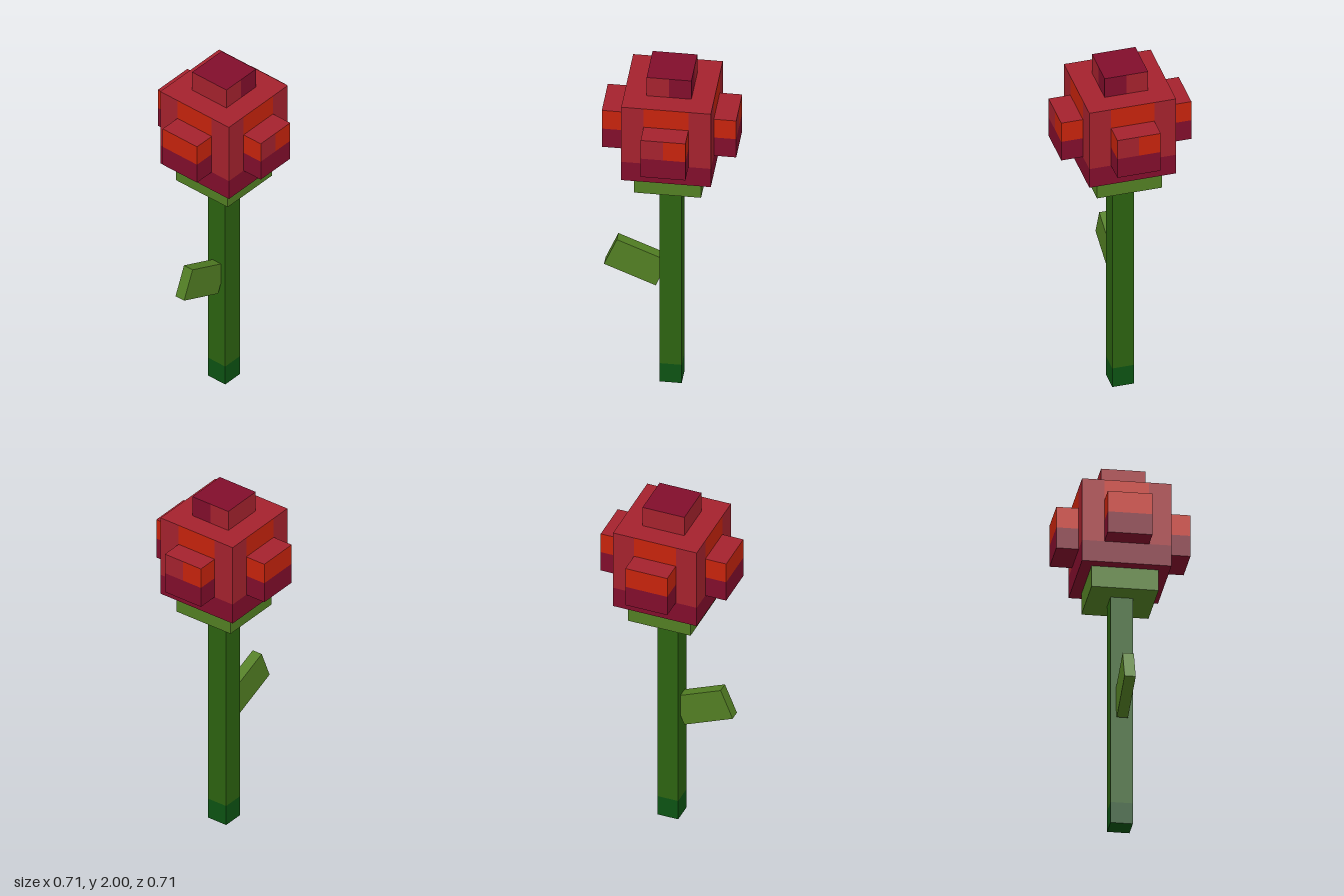
import * as THREE from 'three';

const U = 2 / 17; // block unit

function mat(name, color) {
  const m = new THREE.MeshStandardMaterial({ color });
  m.name = name;
  return m;
}

export function createModel() {
  const stemGreen = mat('stemGreen', 0x2c6210);
  const darkGreen = mat('darkGreen', 0x0c5212);
  const leafGreen = mat('leafGreen', 0x527e23);
  const red = mat('petalRed', 0xa4222d);
  const orange = mat('petalOrange', 0xc6230c);
  const plum = mat('petalPlum', 0x810d2b);

  const model = new THREE.Group();
  model.name = 'flower';

  // Box sized and centred in block units; y is the bottom of the box
  function block(name, parent, material, [w, h, d], [x, y, z]) {
    const mesh = new THREE.Mesh(new THREE.BoxGeometry(w * U, h * U, d * U), material);
    mesh.name = name;
    mesh.position.set(x * U, (y + h / 2) * U, z * U);
    parent.add(mesh);
    return mesh;
  }
  // Material list for a box whose top differs from its sides
  const topped = (side, top) => [side, side, top, side, side, side];

  // Stem, sepal and leaf
  block('stemBase', model, darkGreen, [1, 1, 1], [0, 0, 0]);
  block('stem', model, stemGreen, [1, 10, 1], [0, 1, 0]);
  block('sepal', model, leafGreen, [3, 1, 3], [0, 11, 0]);
  const leaf = block('leaf', model, leafGreen, [2.5, 1.5, 0.5], [-1.56, 5.49, 0]);
  leaf.rotation.z = -Math.PI / 8;

  // Bloom: plum base, red corner columns, orange core with a red top
  const bloom = new THREE.Group();
  bloom.name = 'bloom';
  model.add(bloom);
  block('bloomBase', bloom, plum, [4, 1, 4], [0, 12, 0]);
  const core = topped(orange, red);
  block('bloomCore', bloom, core, [4, 3, 2], [0, 13, 0]);
  for (const s of [-1, 1]) {
    block('bloomCoreSide', bloom, core, [2, 3, 1], [0, 13, s * 1.5]);
    for (const t of [-1, 1]) block('cornerPetal', bloom, red, [1, 3, 1], [s * 1.5, 13, t * 1.5]);
  }

  // Outer petals on the four sides, turned around the bloom
  for (let i = 0; i < 4; i++) {
    const petal = new THREE.Group();
    petal.name = 'outerPetal';
    petal.rotation.y = i * Math.PI / 2;
    block('petalLower', petal, plum, [2, 1, 1], [0, 13, 2.5]);
    // The front and +x petals have a red patch on half of their outer face
    const half = i < 2 ? [orange, orange, red, orange, red, orange] : core;
    block('petalUpperA', petal, half, [1, 1, 1], [-0.5, 14, 2.5]);
    block('petalUpperB', petal, core, [1, 1, 1], [0.5, 14, 2.5]);
    bloom.add(petal);
  }

  // Bud on top, with one plum quarter
  for (const s of [-1, 1]) {
    for (const t of [-1, 1]) {
      const side = s > 0 && t > 0 ? plum : red;
      block('budQuarter', bloom, topped(side, plum), [1, 1, 1], [s * 0.5, 16, t * 0.5]);
    }
  }
  return model;
}
